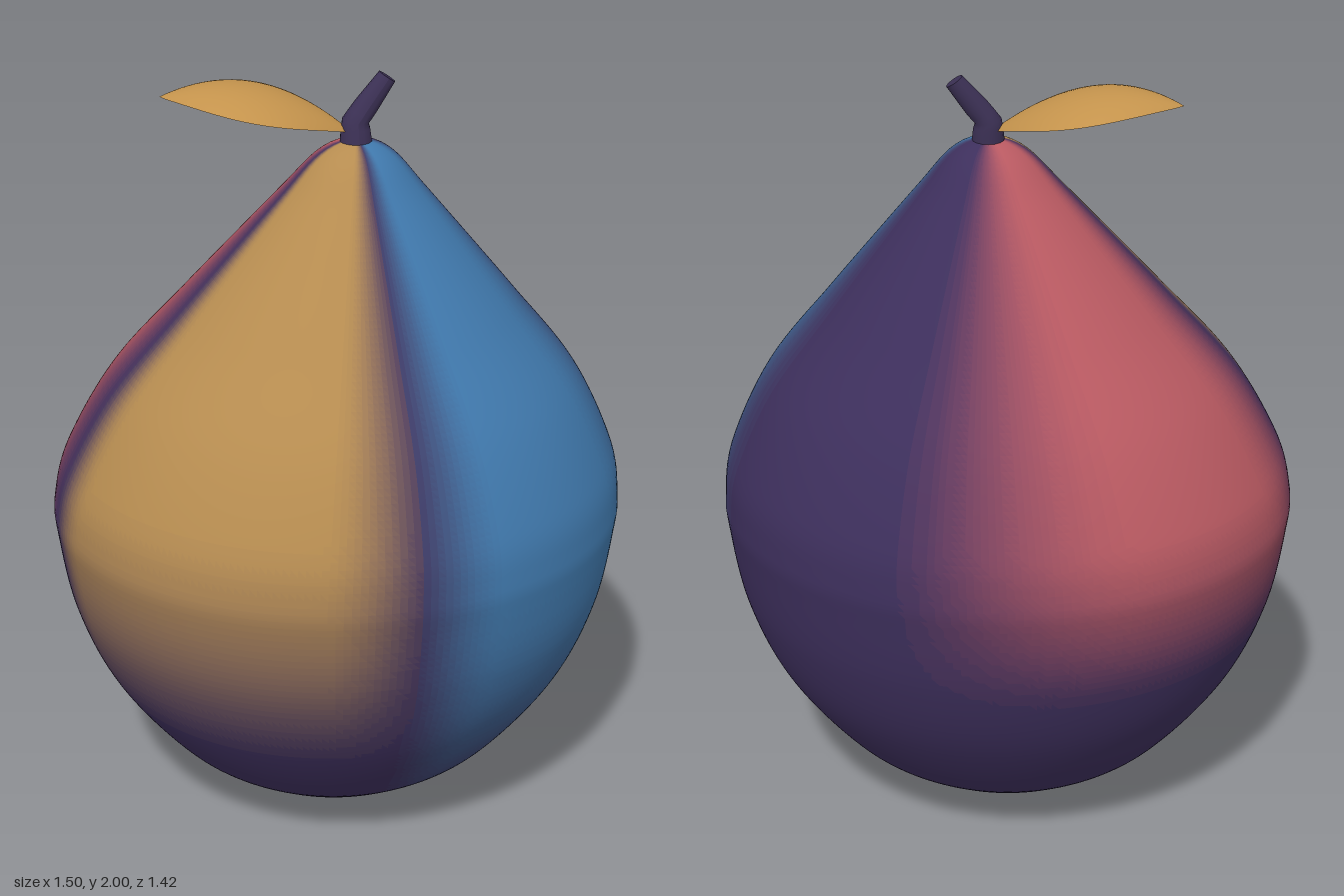
import * as THREE from 'three';
import { mergeVertices } from 'three/addons/utils/BufferGeometryUtils.js';

const PURPLE = 0x3d2f5c;
const LEVELS = 28; // blending steps from the purple skin to each blush
const ROWS = 130;
const { smoothstep } = THREE.MathUtils;

const mat = (color, side = THREE.FrontSide) => new THREE.MeshStandardMaterial({ color, side });

// The neck leans slightly towards +x above the widest part
const lean = (y) => 0.05 * Math.max(0, (y - 0.87) / 0.96);

// Blushes: azimuth ramps in degrees (0 = front, 90 = +x) and a fade over height
const BLUSHES = [
  { name: 'goldBlush', color: 0xb68c50, rise: [-89, -74], fall: [-16, 9], fade: [0.32, 1.08] },
  { name: 'blueBlush', color: 0x4079ad, rise: [1, 24], fall: [58, 108], fade: [-0.05, 0.85] },
  { name: 'redBlush', color: 0xba5a62, rise: [-208, -152], fall: [-118, -85], fade: [0.52, 1.02] },
];

function blushStrength(b, azimuth, y) {
  return smoothstep(azimuth, ...b.rise) * (1 - smoothstep(azimuth, ...b.fall)) * smoothstep(y, ...b.fade);
}

// Egg-shaped body with a full, nearly straight taper to a small rounded top
function bodyGeometry() {
  const profile = new THREE.SplineCurve([
    [0, 0], [0.08, 0.005], [0.157, 0.02], [0.245, 0.05], [0.342, 0.1], [0.472, 0.2], [0.625, 0.4],
    [0.71, 0.6], [0.746, 0.8], [0.749, 0.88], [0.722, 1.0], [0.616, 1.2], [0.449, 1.4],
    [0.276, 1.6], [0.18, 1.71], [0.11, 1.79], [0.055, 1.826], [0, 1.837],
  ].map(([r, y]) => new THREE.Vector2(r, y))).getSpacedPoints(ROWS);
  profile[0].x = profile[ROWS].x = 0;

  let geo = new THREE.LatheGeometry(profile, 240);
  geo.deleteAttribute('uv');
  geo.deleteAttribute('normal');
  geo = mergeVertices(geo, 1e-5);
  const p = geo.attributes.position;
  for (let i = 0; i < p.count; i++) {
    p.setX(i, p.getX(i) + lean(p.getY(i)));
    p.setZ(i, p.getZ(i) * 0.947);
  }
  geo.computeVertexNormals();
  return geo;
}

// Sort the faces of the skin by blush and strength, one mesh for each shade
function createBody() {
  const body = new THREE.Group();
  body.name = 'body';
  const geo = bodyGeometry();
  const p = geo.attributes.position;
  const index = geo.index.array;
  const shades = new Map();
  for (let f = 0; f < index.length; f += 3) {
    const tri = [index[f], index[f + 1], index[f + 2]];
    if (new Set(tri).size < 3) continue; // collapsed face at a pole
    const c = new THREE.Vector3();
    tri.forEach((i) => c.add(new THREE.Vector3().fromBufferAttribute(p, i)));
    c.divideScalar(3);
    let azimuth = THREE.MathUtils.radToDeg(Math.atan2(c.x - lean(c.y), c.z));
    if (azimuth > 140) azimuth -= 360;

    let key = 'purpleSkin';
    let color = new THREE.Color(PURPLE);
    let best = 0;
    for (const b of BLUSHES) {
      const level = Math.round(blushStrength(b, azimuth, c.y) * LEVELS);
      if (level <= best) continue;
      best = level;
      key = b.name + level;
      color = new THREE.Color(PURPLE).lerp(new THREE.Color(b.color), level / LEVELS);
    }
    if (!shades.has(key)) shades.set(key, { color, faces: [] });
    shades.get(key).faces.push(...tri);
  }
  for (const [name, { color, faces }] of shades) {
    const part = geo.clone();
    part.setIndex(faces);
    const mesh = new THREE.Mesh(part.toNonIndexed(), mat(color));
    mesh.name = name;
    body.add(mesh);
  }
  return body;
}

// Short tapered stem, upright at first and then bent towards +x
function createStem() {
  const geo = new THREE.CylinderGeometry(0.025, 0.043, 0.18, 16, 10);
  const p = geo.attributes.position;
  for (let i = 0; i < p.count; i++) {
    const x = p.getX(i);
    const t = p.getY(i) / 0.18 + 0.5;
    const bend = smoothstep(t, 0.25, 0.65);
    p.setXYZ(i,
      0.05 + x * (1 - 0.2 * bend) + 0.14 * Math.max(0, t - 0.4),
      1.81 + 0.177 * t - x * 0.55 * bend,
      p.getZ(i) * (1 - 0.1 * bend) - 0.02 * t);
  }
  geo.computeVertexNormals();
  const stem = new THREE.Mesh(geo, mat(0x3b3054));
  stem.name = 'stem';
  return stem;
}

// Pointed leaf, arched along its length and across its width
function createLeaf() {
  const geo = new THREE.PlaneGeometry(1, 1, 32, 16);
  const p = geo.attributes.position;
  for (let i = 0; i < p.count; i++) {
    const t = p.getX(i) + 0.5;
    const s = p.getY(i) * 2;
    const half = 0.163 * Math.pow(Math.max(0, Math.sin(Math.PI * t)), 0.9);
    p.setXYZ(i,
      0.04 - 0.47 * t - 0.2 * s * half,
      1.853 + 0.375 * t - 0.283 * t * t - 0.27 * half * s * s,
      -0.005 - 0.1 * t + s * half);
  }
  geo.computeVertexNormals();
  const leaf = new THREE.Mesh(geo, mat(0xc4934c, THREE.DoubleSide));
  leaf.name = 'leaf';
  return leaf;
}

export function createModel() {
  const model = new THREE.Group();
  model.name = 'fruit';
  model.add(createBody(), createStem(), createLeaf());
  return model;
}
